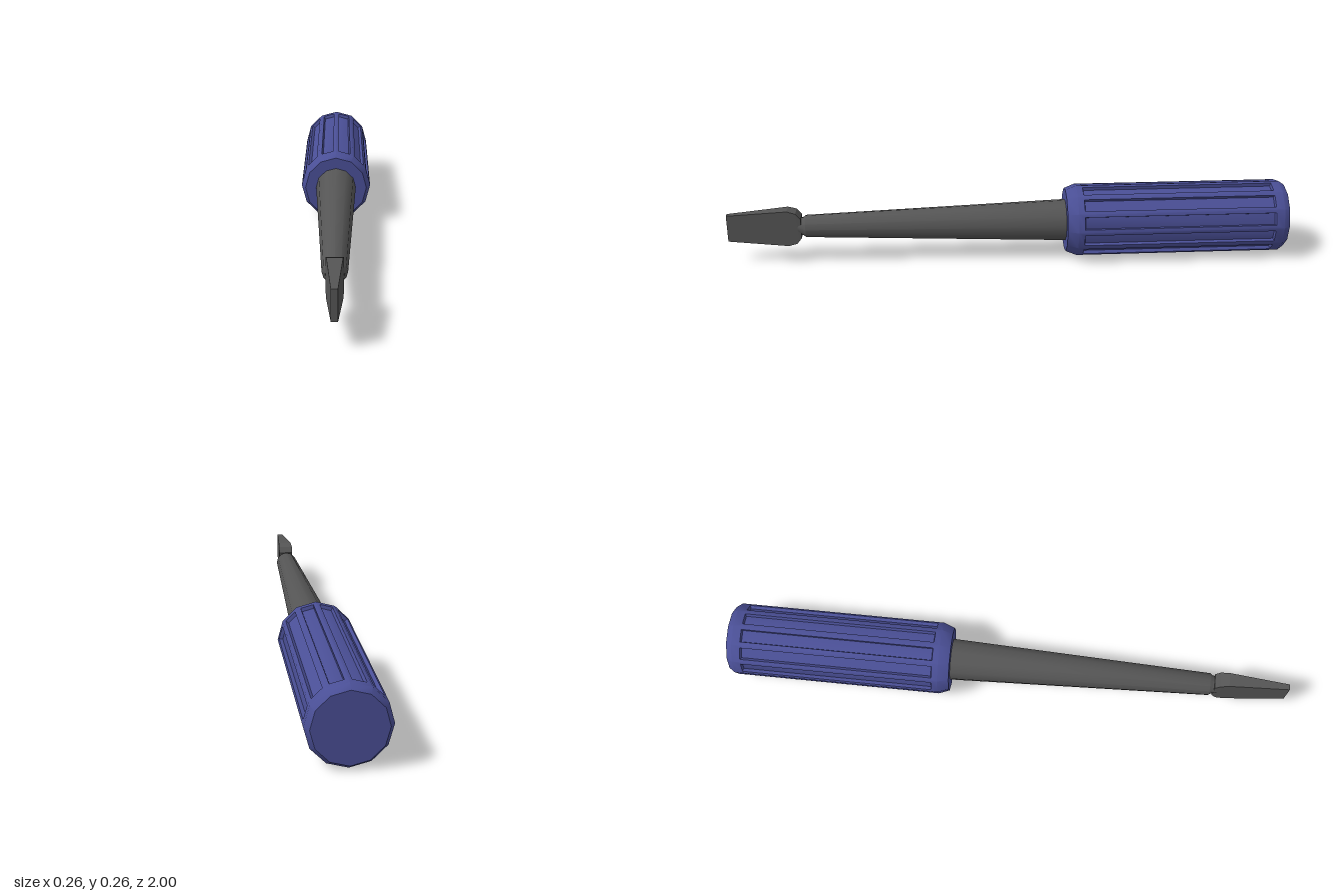
import * as THREE from 'three';
import { toCreasedNormals } from 'three/addons/utils/BufferGeometryUtils.js';

const SIDES = 12;
const AXIS_Y = 0.131;

// Collects polygons; join() bridges two counter-clockwise loops of equal length.
function builder() {
  const pos = [];
  const face = (pts) => {
    for (let i = 1; i < pts.length - 1; i++) {
      for (const p of [pts[0], pts[i], pts[i + 1]]) pos.push(p.x, p.y, p.z);
    }
  };
  const join = (a, b) => a.forEach((p, i) => {
    const j = (i + 1) % a.length;
    face([p, a[j], b[j], b[i]]);
  });
  const mesh = (name, material, crease) => {
    const g = new THREE.BufferGeometry();
    g.setAttribute('position', new THREE.Float32BufferAttribute(pos, 3));
    const m = new THREE.Mesh(toCreasedNormals(g, crease), material);
    m.name = name;
    return m;
  };
  return { face, join, mesh };
}

// Twelve-sided cross-section with a corner pointing straight up
function ring(r, z) {
  return Array.from({ length: SIDES }, (_, k) => {
    const a = (k / SIDES) * Math.PI * 2;
    return new THREE.Vector3(-Math.sin(a) * r, Math.cos(a) * r, z);
  });
}

// Closed body through a row of loops running from back to front
function loft(loops) {
  const b = builder();
  for (let i = 0; i < loops.length - 1; i++) b.join(loops[i], loops[i + 1]);
  b.face([...loops[0]].reverse());
  b.face(loops[loops.length - 1]);
  return b;
}

// Grip with bevelled ends and one recessed groove in each side
function makeHandle(material) {
  const b = builder();
  const R = 0.13, back = -0.978, front = -0.243;
  const backEnd = ring(0.115, -1), frontEnd = ring(0.115, -0.205);
  b.face([...backEnd].reverse());
  b.join(backEnd, ring(R, back));
  b.join(ring(R, front), frontEnd);
  b.face(frontEnd);

  const corners = ring(R, 0);
  for (let k = 0; k < SIDES; k++) {
    const p = corners[k], q = corners[(k + 1) % SIDES];
    const normal = p.clone().add(q).normalize();
    const panel = (margin, z0, z1, depth) =>
      [[margin, z0], [1 - margin, z0], [1 - margin, z1], [margin, z1]].map(([t, z]) => {
        const v = p.clone().lerp(q, t).addScaledVector(normal, -depth);
        v.z = z;
        return v;
      });
    const outer = panel(0, back, front, 0);
    const opening = panel(0.17, -0.948, -0.265, 0);
    const floor = panel(0.2, -0.945, -0.268, 0.012);
    b.join(outer, opening);
    b.join(opening, floor);
    b.face(floor);
  }
  return b.mesh('handle', material, 0.6);
}

export function createModel() {
  const blue = new THREE.MeshStandardMaterial({ color: 0x4a4f96 });
  blue.name = 'handle blue';
  const steel = new THREE.MeshStandardMaterial({ color: 0x555555 });
  steel.name = 'dark steel';

  const model = new THREE.Group();
  model.name = 'screwdriver';
  model.add(makeHandle(blue));

  // Tapered shaft ending in a narrow neck
  const shaft = loft([
    ring(0.075, -0.21), ring(0.04, 0.722), ring(0.033, 0.732), ring(0.029, 0.75),
  ]);
  model.add(shaft.mesh('shaft', steel, 0.6));

  // Flat blade: half width, half height and z of each section
  const sections = [
    [0.027, 0.036, 0.738], [0.027, 0.057, 0.755], [0.025, 0.066, 0.785], [0.01, 0.049, 1],
  ].map(([w, h, z]) => [[1, 1], [-1, 1], [-1, -1], [1, -1]]
    .map(([x, y]) => new THREE.Vector3(x * w, y * h, z)));
  model.add(loft(sections).mesh('blade', steel, 0.3));

  model.children.forEach((m) => { m.position.y = AXIS_Y; });
  return model;
}
